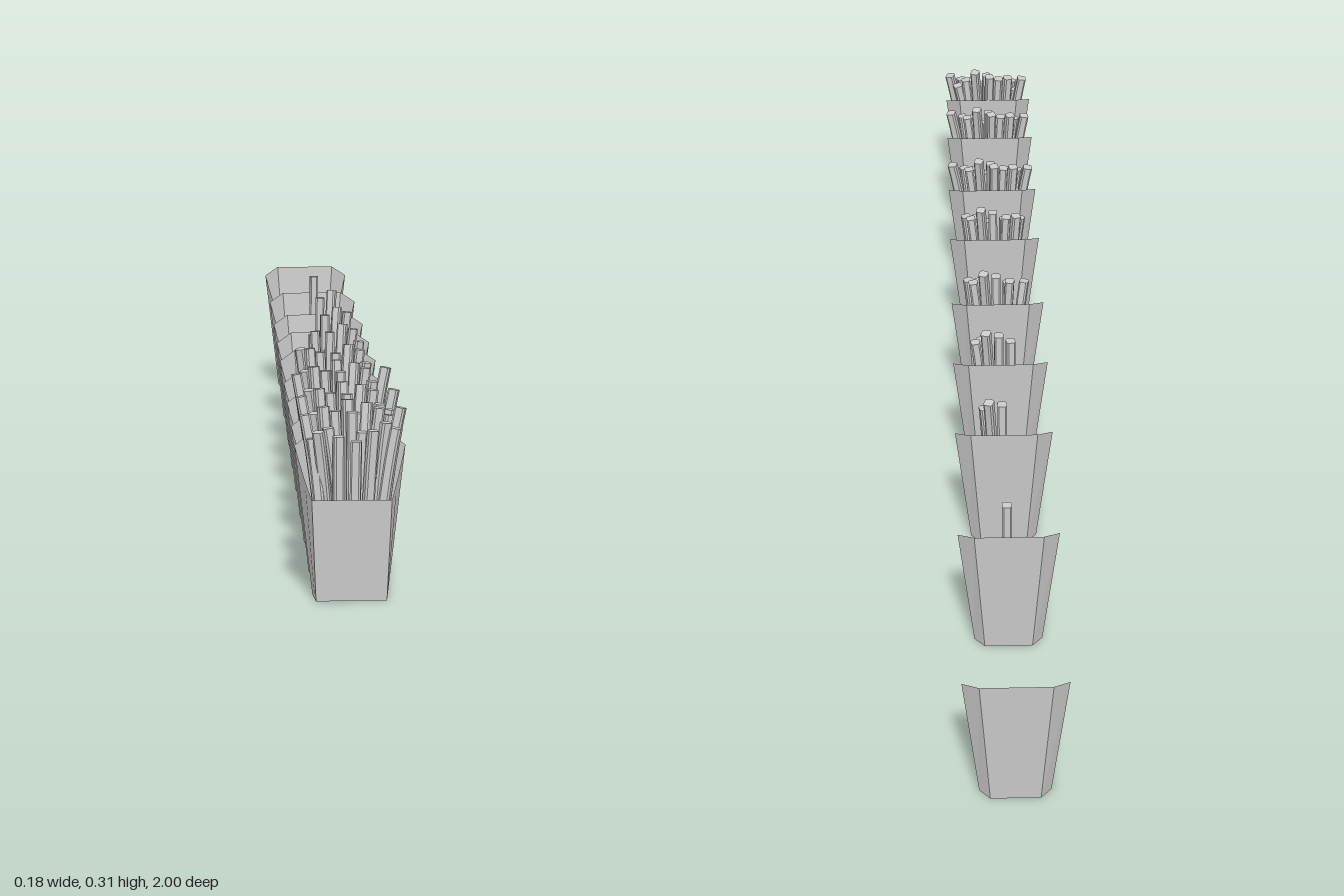
import * as THREE from 'three';
import { toCreasedNormals } from 'three/addons/utils/BufferGeometryUtils.js';

const grey = new THREE.MeshStandardMaterial({ color: 0xcccccc });
const card = new THREE.MeshStandardMaterial({ color: 0xcccccc, side: THREE.DoubleSide, flatShading: true });

// Each carton: [centre z, number of fries]
const CARTONS = [
  [-0.952, 0], [-0.56, 1], [-0.262, 3], [-0.04, 5], [0.163, 8],
  [0.395, 10], [0.583, 13], [0.793, 16], [0.953, 18],
];

// Each fry: [foot x, foot z, tip x, tip z, tip height]
const FRIES = [
  [0.002, -0.005, 0.003, -0.008, 0.295],
  [0.022, 0.018, 0.035, 0.018, 0.27],
  [0.015, 0.01, 0.027, -0.02, 0.308],
  [-0.02, 0.02, -0.02, 0.022, 0.262],
  [0.025, -0.028, 0.047, -0.032, 0.297],
  [-0.03, 0.0, -0.052, 0.016, 0.268],
  [0.035, 0.002, 0.056, 0.004, 0.28],
  [-0.015, -0.012, -0.023, -0.024, 0.294],
  [0.005, 0.024, 0.008, 0.026, 0.255],
  [-0.03, -0.015, -0.042, -0.03, 0.3],
  [0.042, -0.008, 0.08, -0.018, 0.3],
  [-0.04, -0.005, -0.072, -0.015, 0.29],
  [-0.002, -0.018, -0.003, -0.042, 0.309],
  [0.04, 0.012, 0.072, 0.01, 0.272],
  [-0.01, 0.008, -0.036, 0.004, 0.272],
  [0.012, 0.002, 0.018, 0.002, 0.265],
  [-0.04, 0.015, -0.06, 0.0, 0.255],
  [0.03, -0.018, 0.064, -0.034, 0.285],
];

// Folded paper carton: six tapering walls with a low front and a tall back
function cartonGeometry() {
  const right = [
    // foot x, foot z, rim x, rim z, rim y
    [0.056, 0.037, 0.063, 0.047, 0.165],
    [0.0575, 0.022, 0.073, 0.02, 0.192],
    [0.06, -0.008, 0.088, -0.018, 0.24],
    [0.042, -0.029, 0.06, -0.047, 0.255],
  ];
  const left = right.map(([a, b, c, d, e]) => [-a, b, -c, d, e]).reverse();
  const ring = [...right, ...left];
  const n = ring.length;
  const pos = [];
  for (const [fx, fz, rx, rz, ry] of ring) pos.push(fx, 0, fz, rx, ry, rz);
  const idx = [];
  for (let i = 0; i < n; i++) {
    const a = 2 * i, b = 2 * ((i + 1) % n);
    idx.push(a, b, b + 1, a, b + 1, a + 1);
    if (i > 0 && i < n - 1) idx.push(0, b, a);
  }
  const g = new THREE.BufferGeometry();
  g.setAttribute('position', new THREE.Float32BufferAttribute(pos, 3));
  g.setIndex(idx);
  const flat = g.toNonIndexed();
  flat.computeVertexNormals();
  return flat;
}

// Square bar with clipped corners, bent along a curve from foot to tip
function fryGeometry([x0, z0, x1, z1, h], roll) {
  const r = 0.0085, c = 0.0055;
  const corners = [[r, -c], [r, c], [c, r], [-c, r], [-r, c], [-r, -c], [-c, -r], [c, -r]]
    .map(([x, y]) => new THREE.Vector2(x, y).rotateAround(new THREE.Vector2(), roll));
  const g = new THREE.ExtrudeGeometry(new THREE.Shape(corners), { depth: 1, steps: 8, bevelEnabled: false });
  g.rotateX(-Math.PI / 2);
  const curve = new THREE.QuadraticBezierCurve3(
    new THREE.Vector3(x0, 0.02, z0),
    new THREE.Vector3(x0 + (x1 - x0) * 0.35, h * 0.62, z0 + (z1 - z0) * 0.2),
    new THREE.Vector3(x1, h, z1),
  );
  const p = g.attributes.position;
  for (let i = 0; i < p.count; i++) {
    const at = curve.getPoint(p.getY(i));
    // tilt the cut ends slightly with the lean of the fry
    const drop = -(p.getX(i) * (x1 - x0) + p.getZ(i) * (z1 - z0)) * 5;
    p.setXYZ(i, at.x + p.getX(i), at.y + drop, at.z + p.getZ(i));
  }
  return toCreasedNormals(g, 0.6);
}

export function createModel() {
  const model = new THREE.Group();
  model.name = 'friesInNineStages';
  const carton = cartonGeometry();
  const fries = FRIES.map((f, i) => fryGeometry(f, Math.sin(i * 2.3) * 0.35));

  CARTONS.forEach(([z, count], i) => {
    const portion = new THREE.Group();
    portion.name = `portion${i}`;
    portion.position.z = z;
    const box = new THREE.Mesh(carton, card);
    box.name = 'carton';
    portion.add(box);
    for (const g of fries.slice(0, count)) {
      const fry = new THREE.Mesh(g, grey);
      fry.name = 'fry';
      portion.add(fry);
    }
    model.add(portion);
  });
  return model;
}
